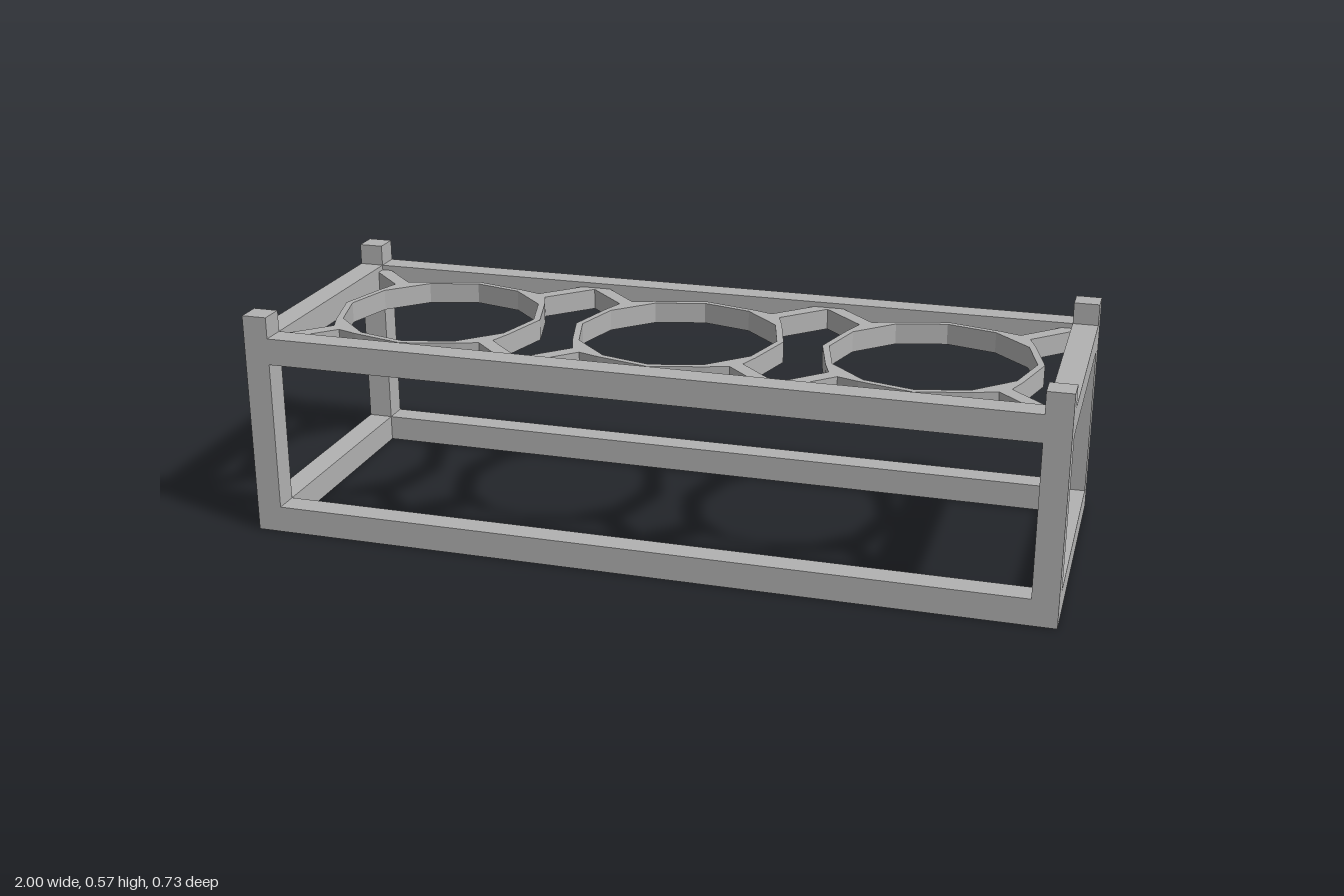
import * as THREE from 'three';

const HX = 1, HZ = 0.367;        // half length and half depth of the frame
const POST = 0.063, RAIL = 0.067; // member width and rail height
const TOP = 0.567, SHELF = 0.446; // post top and underside of the upper rails
const RING_Y = 0.447, RING_H = 0.053, R = 0.268, RING_GAP = 0.633;

export function createModel() {
  const model = new THREE.Group();
  const grey = new THREE.MeshStandardMaterial({ color: 0xb2b2b2 });
  grey.name = 'plain grey';
  grey.flatShading = true;

  const add = (parent, name, geometry, x, y, z) => {
    const mesh = new THREE.Mesh(geometry, grey);
    mesh.name = name;
    mesh.position.set(x, y, z);
    parent.add(mesh);
    return mesh;
  };
  // flat outline raised upwards
  const slab = (shape) => new THREE.ExtrudeGeometry(shape, { depth: RING_H, bevelEnabled: false }).rotateX(-Math.PI / 2);
  const polygon = (radius) => Array.from({ length: 12 }, (_, i) =>
    new THREE.Vector2(radius * Math.cos(i * Math.PI / 6), radius * Math.sin(i * Math.PI / 6)));

  // corner posts, standing proud of the upper rails
  const px = HX - POST / 2, pz = HZ - POST / 2;
  const postGeo = new THREE.BoxGeometry(POST, TOP, POST);
  for (const sx of [-1, 1]) for (const sz of [-1, 1]) add(model, 'cornerPost', postGeo, sx * px, TOP / 2, sz * pz);

  // lower and upper rails between the posts
  const longGeo = new THREE.BoxGeometry(2 * (HX - POST), RAIL, POST);
  const shortGeo = new THREE.BoxGeometry(POST, RAIL, 2 * (HZ - POST));
  for (const [level, y] of [['lower', 0], ['upper', SHELF]]) {
    for (const s of [-1, 1]) {
      add(model, level + 'LongRail', longGeo, 0, y + RAIL / 2, s * pz);
      add(model, level + 'EndRail', shortGeo, s * px, y + RAIL / 2, 0);
    }
  }

  // twelve-sided holder ring
  const ringShape = new THREE.Shape(polygon(R));
  ringShape.holes.push(new THREE.Path(polygon(R - 0.017)));
  const ringGeo = slab(ringShape);

  // diagonal strut, flared where it meets one flat of the ring
  const flat = R * Math.cos(Math.PI / 12), half = R * Math.sin(Math.PI / 12), w = 0.0185;
  const strutGeo = slab(new THREE.Shape([
    [flat - 0.005, -half * 0.9], [flat, -half], [0.283, -w], [0.457, -w],
    [0.457, w], [0.283, w], [flat, half], [flat - 0.005, half * 0.9],
  ].map(([x, y]) => new THREE.Vector2(x, y))));

  // three rings, each held by four struts
  for (const i of [-1, 0, 1]) {
    const holder = new THREE.Group();
    holder.name = 'ringHolder';
    holder.position.set(i * RING_GAP, RING_Y, 0);
    add(holder, 'ring', ringGeo, 0, 0, 0);
    for (let k = 0; k < 4; k++) add(holder, 'diagonalStrut', strutGeo, 0, 0, 0).rotation.y = Math.PI / 4 + k * Math.PI / 2;
    model.add(holder);
  }
  return model;
}
